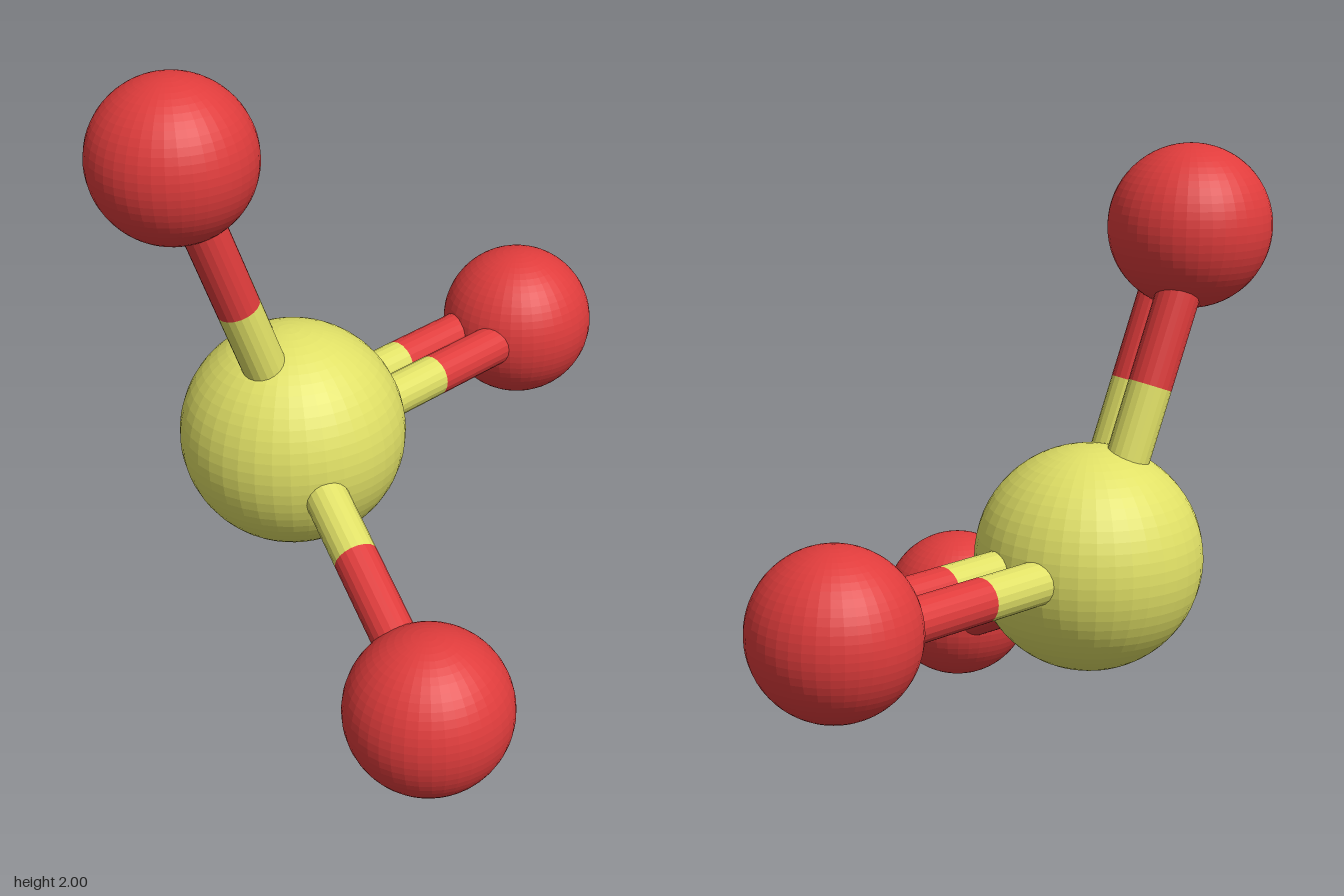
import * as THREE from 'three';

const yellow = new THREE.MeshStandardMaterial({ color: 0xe0e066, flatShading: true });
const red = new THREE.MeshStandardMaterial({ color: 0xe03c3c, flatShading: true });
const ROD_RADIUS = 0.07;
const ROD_GAP = 0.08; // distance of each rod from the bond axis
const SPLIT = 0.575; // length of the yellow half of a rod

function ball(name, radius, center, material) {
  const mesh = new THREE.Mesh(new THREE.SphereGeometry(radius, 40, 32), material);
  mesh.name = name;
  mesh.position.copy(center);
  return mesh;
}

function rod(name, from, to, material) {
  const dir = to.clone().sub(from);
  const mesh = new THREE.Mesh(
    new THREE.CylinderGeometry(ROD_RADIUS, ROD_RADIUS, dir.length(), 20), material);
  mesh.name = name;
  mesh.position.copy(from).add(to).multiplyScalar(0.5);
  mesh.quaternion.setFromUnitVectors(new THREE.Vector3(0, 1, 0), dir.normalize());
  return mesh;
}

export function createModel() {
  const model = new THREE.Group();
  model.name = 'molecule';

  // Large central atom
  const core = new THREE.Vector3(-0.37, 0.71, -0.415);
  model.add(ball('centralAtom', 0.364, core, yellow));

  // Outer atoms, each with the sideways direction of its double bond
  const arms = [
    { name: 'left', end: [0.73, 0.71, -0.415], side: [0, 0, 1] },
    { name: 'top', end: [-0.735, 1.74, -0.495], side: [-0.04, -0.01, 0.068] },
    { name: 'front', end: [-0.735, 0.262, 0.52], side: [-0.04, 0.07, 0.018] },
  ];

  for (const { name, end, side } of arms) {
    const tip = new THREE.Vector3(...end);
    const arm = new THREE.Group();
    arm.name = name + 'Arm';
    arm.add(ball(name + 'Atom', 0.26, tip, red));

    // Double bond: two parallel two-coloured rods
    const joint = tip.clone().sub(core).setLength(SPLIT).add(core);
    for (const s of [-1, 1]) {
      const shift = new THREE.Vector3(...side).setLength(ROD_GAP).multiplyScalar(s);
      const [a, b, c] = [core, joint, tip].map((p) => p.clone().add(shift));
      arm.add(rod('innerBond', a, b, yellow), rod('outerBond', b, c, red));
    }
    model.add(arm);
  }
  return model;
}
